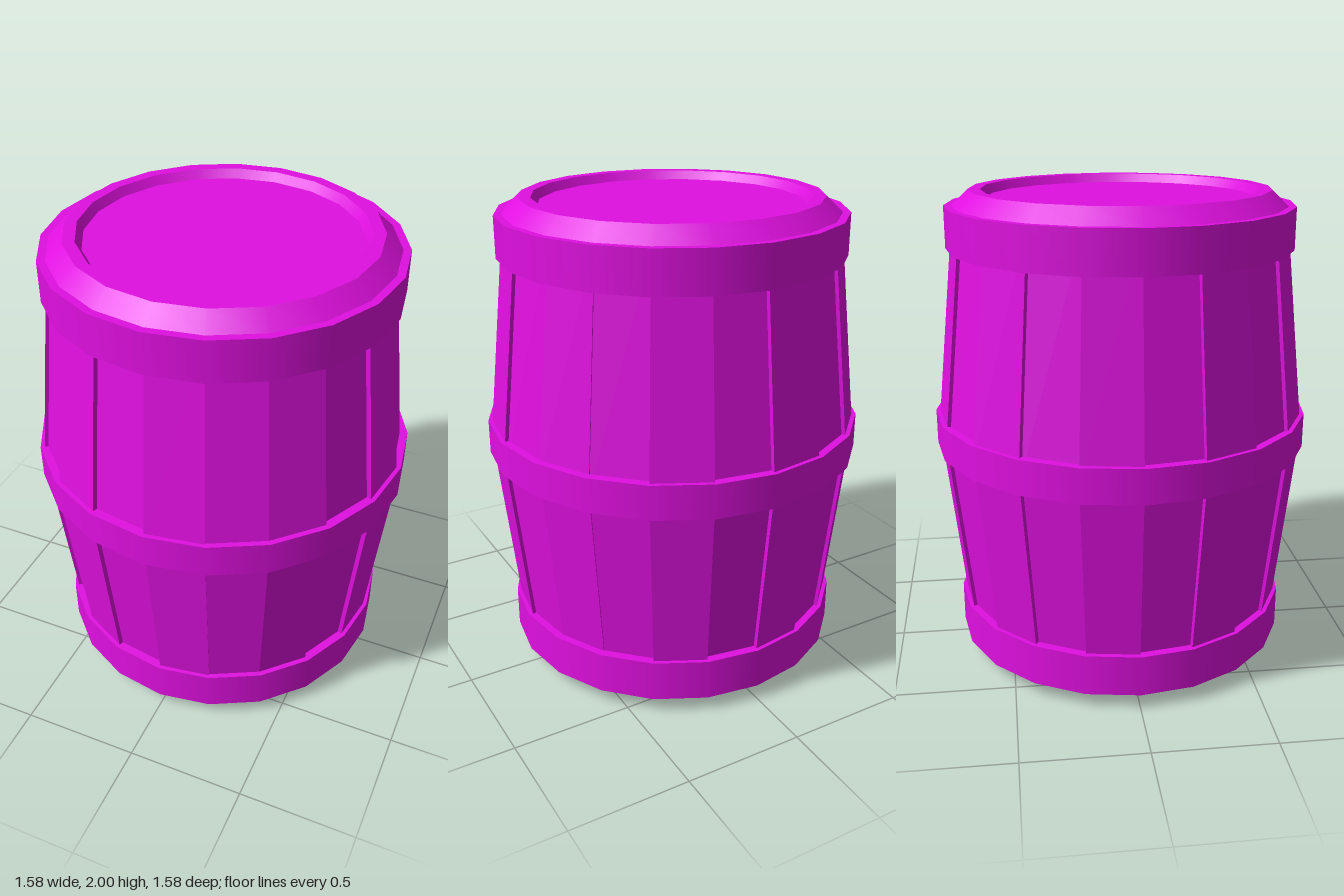
import * as THREE from 'three';
import { mergeGeometries } from 'three/addons/utils/BufferGeometryUtils.js';

const SIDES = 20;
const STEP = (Math.PI * 2) / SIDES;
const material = new THREE.MeshStandardMaterial({ color: 0xe010e0 });

// Revolve each profile segment separately: smooth around, sharp along the profile.
function revolve(name, profile) {
  const pieces = [];
  for (let i = 0; i < profile.length - 1; i++) {
    const pair = [profile[i], profile[i + 1]].map(([r, y]) => new THREE.Vector2(r, y));
    pieces.push(new THREE.LatheGeometry(pair, SIDES));
  }
  const mesh = new THREE.Mesh(mergeGeometries(pieces), material);
  mesh.name = name;
  return mesh;
}

// Closed hoop with a rectangular section.
function hoop(name, outer, inner, y0, y1) {
  return revolve(name, [[inner, y0], [outer, y0], [outer, y1], [inner, y1], [inner, y0]]);
}

// One bulging plank: a box bent onto its slice of the barrel.
function stave(index, sink) {
  const box = new THREE.BoxGeometry(1, 1, 1, 1, 2, 1);
  const p = box.attributes.position;
  for (let i = 0; i < p.count; i++) {
    const angle = (index + 0.5 + p.getX(i)) * STEP;
    const y = 1 + p.getY(i) * 1.86;
    const radius = 0.782 - sink - Math.abs(p.getY(i)) * 0.2 - (p.getZ(i) < 0 ? 0.06 : 0);
    p.setXYZ(i, Math.sin(angle) * radius, y, Math.cos(angle) * radius);
  }
  const geometry = box.toNonIndexed();
  geometry.computeVertexNormals();
  const mesh = new THREE.Mesh(geometry, material);
  mesh.name = `stave${index + 1}`;
  return mesh;
}

export function createModel() {
  const barrel = new THREE.Group();
  barrel.name = 'barrel';

  // Staves set at slightly uneven depths
  const staves = new THREE.Group();
  staves.name = 'staves';
  const sinks = [0, 0.005, 0.005, 0.02, 0, 0.015, 0.015, 0.02, 0, 0.02,
    0, 0.015, 0, 0.02, 0.005, 0.02, 0, 0.015, 0, 0.02];
  sinks.forEach((sink, i) => staves.add(stave(i, sink)));
  barrel.add(staves);

  // Chamfered rims with recessed heads, mirrored top and bottom
  const rim = [[0.6, 1.935], [0.687, 1.935], [0.617, 2], [0.568, 2], [0.545, 1.965], [0, 1.965]];
  barrel.add(revolve('topHead', rim));
  barrel.add(revolve('bottomHead', rim.map(([r, y]) => [r, 2 - y]).reverse()));

  // Hoops
  barrel.add(hoop('topHoop', 0.717, 0.62, 1.765, 1.937));
  barrel.add(hoop('middleHoop', 0.792, 0.7, 0.93, 1.075));
  barrel.add(hoop('bottomHoop', 0.717, 0.62, 0.065, 0.24));

  return barrel;
}
